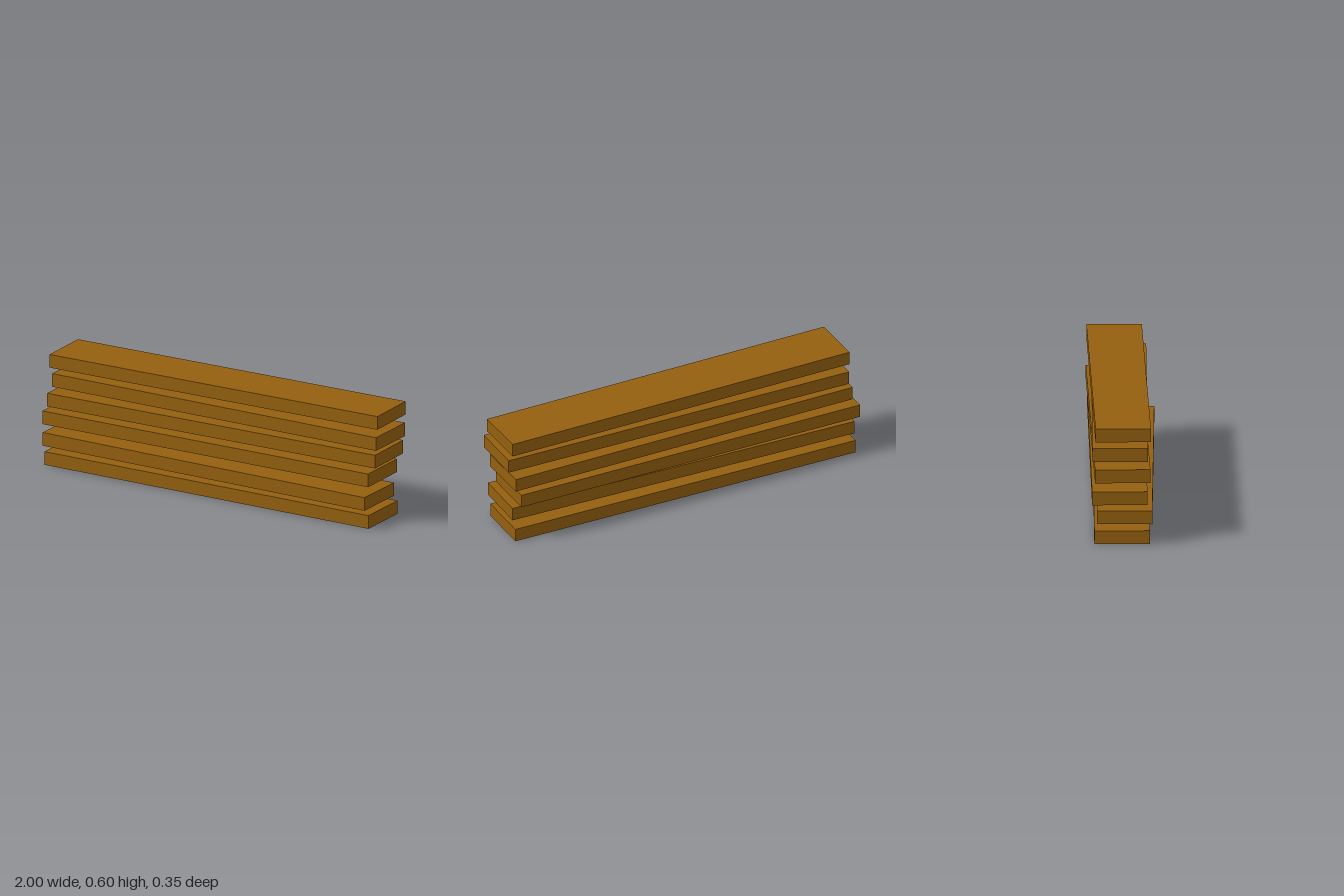
import * as THREE from 'three';

export function createModel() {
  const model = new THREE.Group();
  model.name = 'plankStack';

  const wood = new THREE.MeshStandardMaterial({ color: 0x94600f });
  wood.name = 'brown wood';

  const length = 1.937, height = 0.0706, depth = 0.282, pitch = 0.1059;
  const board = new THREE.BoxGeometry(length, height, depth);

  // Slight misalignment of each board, bottom to top: x, z, turn about y
  const offsets = [
    [-0.0115, -0.0015, -0.0015],
    [-0.0135, 0.022, -0.0124],
    [-0.0315, -0.021, 0.0067],
    [0.005, -0.016, 0.0175],
    [0.0295, -0.0095, -0.0026],
    [0.021, -0.013, 0.017],
  ];

  // Evenly spaced boards with gaps between them
  offsets.forEach(([x, z, turn], i) => {
    const plank = new THREE.Mesh(board, wood);
    plank.name = `plank${i + 1}`;
    plank.position.set(x, height / 2 + i * pitch, z);
    plank.rotation.y = turn;
    model.add(plank);
  });

  return model;
}
